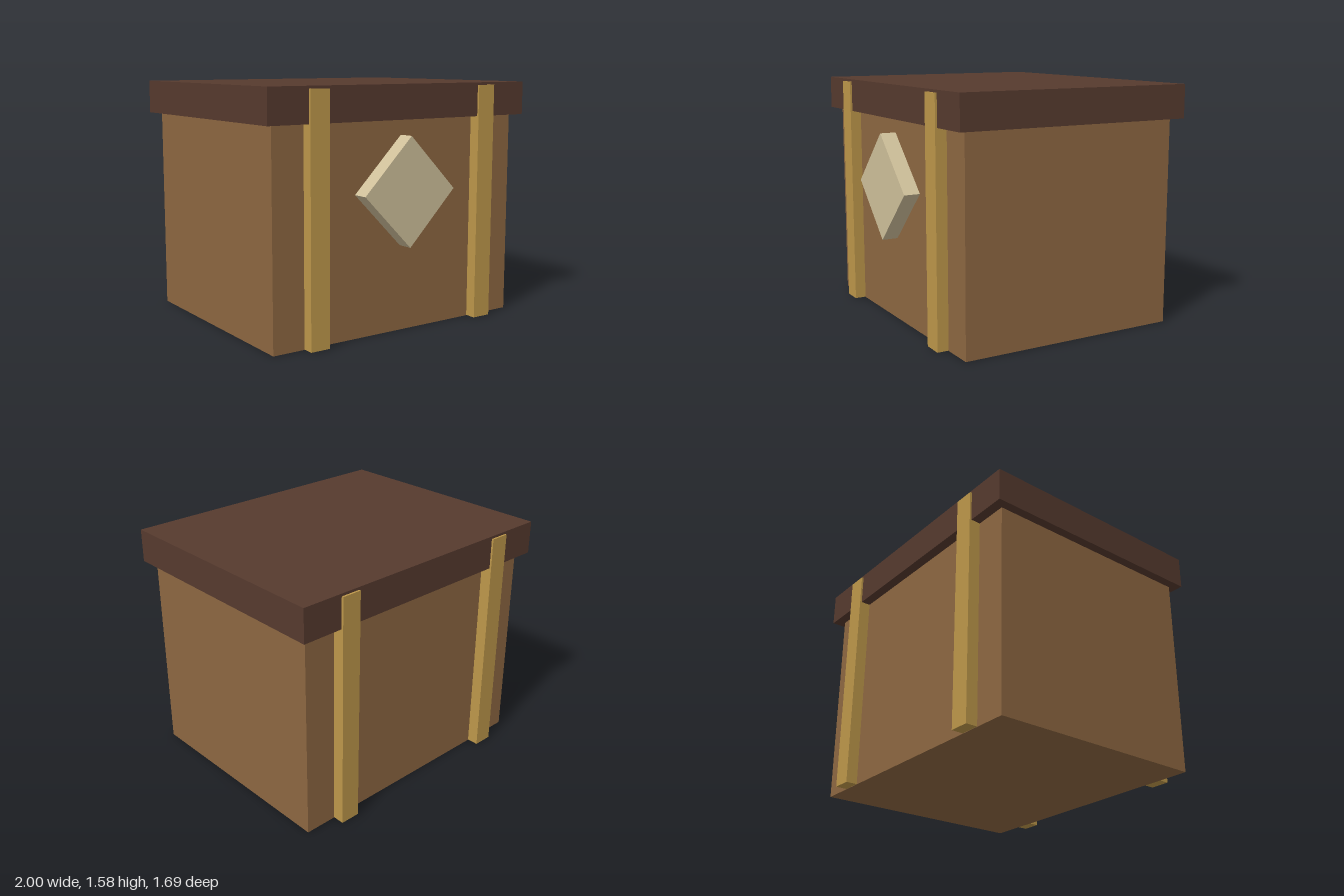
import * as THREE from 'three';

const material = (color) => new THREE.MeshStandardMaterial({ color });

// Box given by its extents on each axis
function box(name, mat, [x0, x1], [y0, y1], [z0, z1]) {
  const mesh = new THREE.Mesh(new THREE.BoxGeometry(x1 - x0, y1 - y0, z1 - z0), mat);
  mesh.name = name;
  mesh.position.set((x0 + x1) / 2, (y0 + y1) / 2, (z0 + z1) / 2);
  return mesh;
}

export function createModel() {
  const group = new THREE.Group();
  group.name = 'chest';

  const wood = material(0x8d6741);
  const darkWood = material(0x563a2e);
  const brass = material(0xbd974a);
  const pale = material(0xcfc09a);

  // Body and overhanging lid
  group.add(box('body', wood, [-0.94, 0.94], [0, 1.37], [-0.765, 0.735]));
  group.add(box('lid', darkWood, [-1, 1], [1.36, 1.58], [-0.83, 0.797]));

  // Straps run through the chest and stand proud at front and back
  for (const side of [-1, 1]) {
    const x = side * 0.655;
    const name = side > 0 ? 'leftStrap' : 'rightStrap';
    group.add(box(name, brass, [x - 0.067, x + 0.067], [0.002, 1.563], [-0.843, 0.81]));
  }

  // Square lock plate turned onto its corner
  const s = 0.352 / Math.SQRT2;
  const plate = box('lockPlate', pale, [-s, s], [0.91 - s, 0.91 + s], [0.72, 0.843]);
  plate.rotation.z = Math.PI / 4;
  group.add(plate);

  return group;
}
